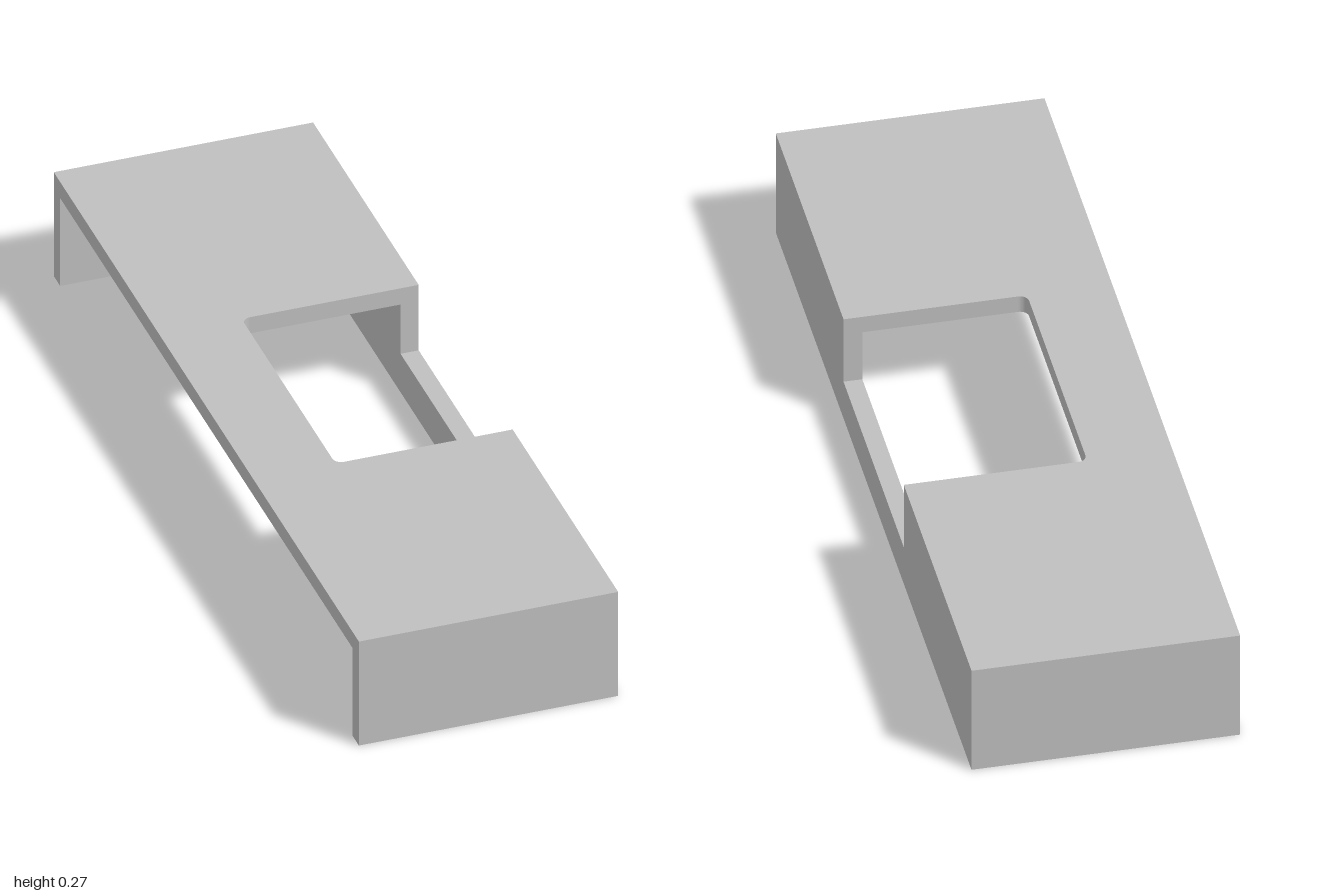
import * as THREE from 'three';

const W = 0.3, H = 0.27, L = 1, T = 0.042;        // half width, height, half length, sheet thickness
const CUT_X = -0.11, CUT_Z = 0.308, CUT_Y = 0.1, R = 0.02; // notch bounds and corner radius

export function createModel() {
  const group = new THREE.Group();
  group.name = 'notchedCover';
  const grey = new THREE.MeshStandardMaterial({ color: 0xbfbfbf });
  grey.name = 'plain grey';

  const add = (name, geometry) => {
    const mesh = new THREE.Mesh(geometry, grey);
    mesh.name = name;
    group.add(mesh);
    return mesh;
  };
  const extrude = (shape) =>
    new THREE.ExtrudeGeometry(shape, { depth: T, bevelEnabled: false, curveSegments: 6 });

  // Top plate with a notch open towards +x, inner corners rounded
  const top = new THREE.Shape();
  top.moveTo(-W, -L);
  top.lineTo(W, -L);
  top.lineTo(W, -CUT_Z);
  top.lineTo(CUT_X + R, -CUT_Z);
  top.absarc(CUT_X + R, -CUT_Z + R, R, -Math.PI / 2, -Math.PI, true);
  top.lineTo(CUT_X, CUT_Z - R);
  top.absarc(CUT_X + R, CUT_Z - R, R, Math.PI, Math.PI / 2, true);
  top.lineTo(W, CUT_Z);
  top.lineTo(W, L);
  top.lineTo(-W, L);
  top.closePath();
  add('topPlate', extrude(top).rotateX(-Math.PI / 2).translate(0, H - T, 0));

  // Side wall, with the notch continuing down to a low lip
  const side = new THREE.Shape([
    [-L, 0], [L, 0], [L, H - T], [CUT_Z, H - T], [CUT_Z, CUT_Y],
    [-CUT_Z, CUT_Y], [-CUT_Z, H - T], [-L, H - T],
  ].map(([z, y]) => new THREE.Vector2(z, y)));
  add('sideWall', extrude(side).rotateY(Math.PI / 2).translate(W - T, 0, 0));

  // End walls
  for (const s of [1, -1]) {
    const wall = add(s > 0 ? 'frontWall' : 'backWall', new THREE.BoxGeometry(2 * W - T, H - T, T));
    wall.position.set(-T / 2, (H - T) / 2, s * (L - T / 2));
  }
  return group;
}
